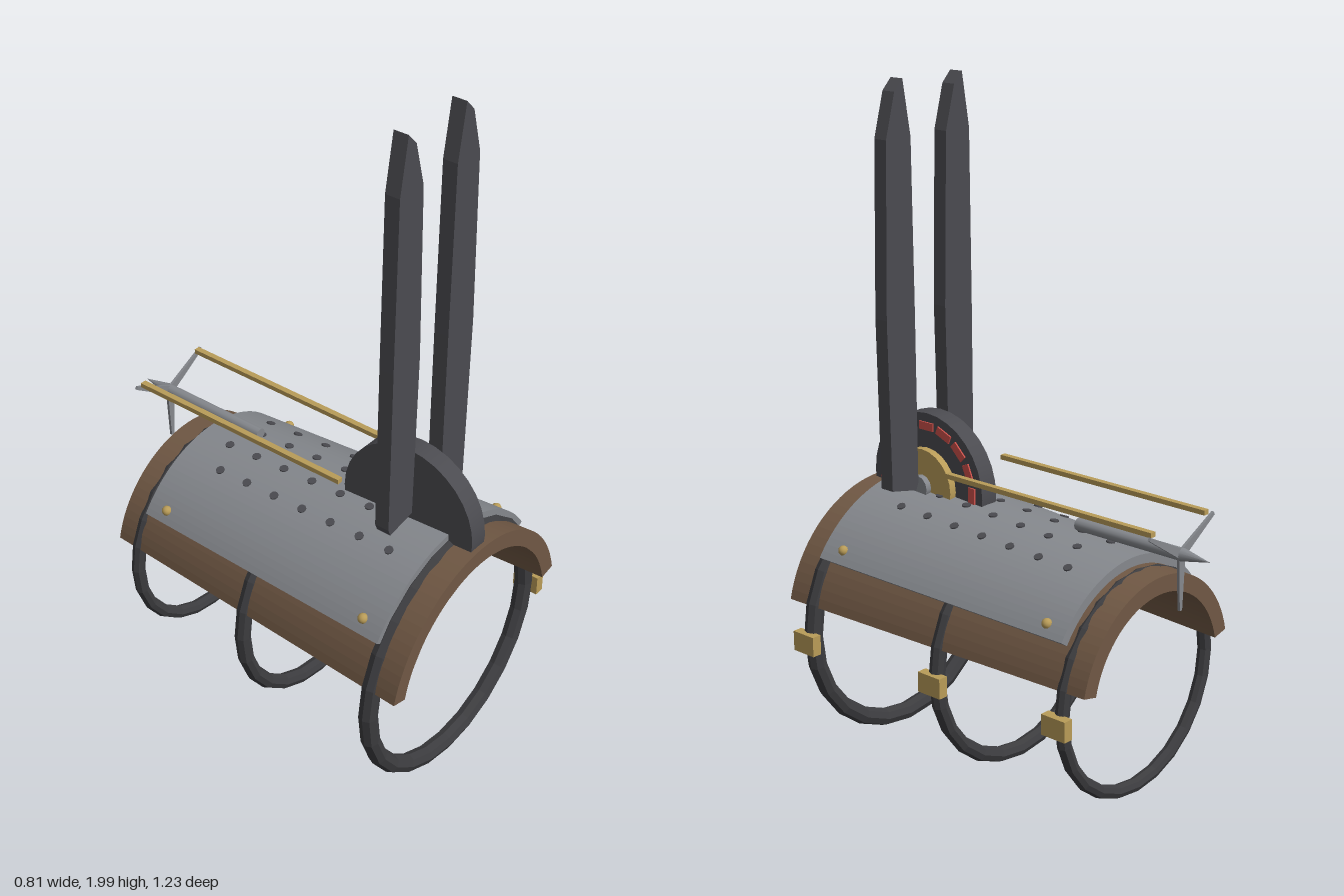
import * as THREE from 'three';

const mat = (name, color, flatShading = false) => {
  const m = new THREE.MeshStandardMaterial({ color, flatShading });
  m.name = name;
  return m;
};

export function createModel() {
  const model = new THREE.Group();
  model.name = 'wristLauncher';
  const leather = mat('leather', 0x705844);
  const steel = mat('steel', 0x85888d);
  const gunmetal = mat('gunmetal', 0x4b4b50);
  const brass = mat('brass', 0xb99c58);
  const red = mat('red', 0xcc504a);
  const strap = mat('strap', 0x3c3c3f, true);
  const CX = -0.01, CY = 0.41, TAPER = 0.061;

  const add = (name, geometry, material, x = 0, y = 0, z = 0, parent = model) => {
    const mesh = new THREE.Mesh(geometry, material);
    mesh.name = name;
    mesh.position.set(x, y, z);
    parent.add(mesh);
    return mesh;
  };

  // Arched shell: a ring sector that widens toward the front
  const shell = (name, inner, outer, edgeAngle, back, front, material) => {
    const a = THREE.MathUtils.degToRad(edgeAngle);
    const s = new THREE.Shape();
    s.absarc(0, 0, outer, a, Math.PI - a, false);
    s.absarc(0, 0, inner, Math.PI - a, a, true);
    s.closePath();
    const g = new THREE.ExtrudeGeometry(s, { depth: front - back, bevelEnabled: false, curveSegments: 18 });
    const p = g.attributes.position;
    for (let i = 0; i < p.count; i++) {
      const k = 1 + TAPER * p.getZ(i) / Math.hypot(p.getX(i), p.getY(i));
      p.setXY(i, p.getX(i) * k, p.getY(i) * k);
    }
    g.computeVertexNormals();
    add(name, g, material, CX, CY, back);
  };
  shell('leatherCuff', 0.27, 0.32, 13, -0.45, 0.615, leather);
  shell('steelPlate', 0.322, 0.353, 34, -0.355, 0.525, steel);

  // Places a small part on the plate at an angle from the top
  const onPlate = (name, geometry, material, degrees, z) => {
    const a = THREE.MathUtils.degToRad(degrees);
    const r = 0.353 + TAPER * (z + 0.355);
    const m = add(name, geometry, material, CX + r * Math.sin(a), CY + r * Math.cos(a), z);
    m.rotation.z = -a;
  };

  // Staggered vent dots
  const dot = new THREE.CylinderGeometry(0.013, 0.013, 0.008, 10);
  [-22, -7.5, 7.5, 22].forEach((angle, column) => {
    for (let i = 0; i < 7; i++) {
      onPlate('ventHole', dot, gunmetal, angle, (column % 2 ? -0.242 : -0.201) + i * 0.103);
    }
  });

  // Corner rivets
  const rivet = new THREE.SphereGeometry(0.015, 12, 8);
  for (const z of [-0.288, 0.455]) {
    for (const angle of [-50, 50]) onPlate('rivet', rivet, brass, angle, z);
  }

  // Strap rings and their buckles
  const straps = [[0.527, 0.37, 0.027, 0.385], [0.055, 0.342, 0.023, 0.35], [-0.377, 0.315, 0.02, 0.327]];
  for (const [z, radius, tube, buckleX] of straps) {
    add('strapRing', new THREE.TorusGeometry(radius, tube, 8, 24), strap, CX, 0.403, z);
    add('buckle', new THREE.BoxGeometry(0.03, 0.06, 0.082), brass, buckleX, 0.39, z);
  }

  // Winding wheel, facing +x
  const wheel = new THREE.Group();
  wheel.name = 'windingWheel';
  wheel.position.set(0, 0.815, 0.385);
  model.add(wheel);
  const disc = (name, radius, x0, x1, material, sides) => {
    const g = new THREE.CylinderGeometry(radius, radius, x1 - x0, sides).rotateZ(Math.PI / 2);
    add(name, g, material, (x0 + x1) / 2, 0, 0, wheel);
  };
  disc('wheelDisc', 0.217, -0.039, 0.02, gunmetal, 32);
  disc('wheelHub', 0.113, 0.02, 0.043, brass, 24);
  disc('hubCap', 0.036, 0.043, 0.062, steel, 12);
  const dash = new THREE.BoxGeometry(0.008, 0.024, 0.055);
  for (let i = 0; i < 16; i++) {
    const a = (i / 16) * Math.PI * 2;
    const m = add('wheelMark', dash, red, 0.021, Math.cos(a) * 0.178, Math.sin(a) * 0.178, wheel);
    m.rotation.x = a;
  }

  // Two upright blade limbs
  const outline = [
    [-0.145, 0.818], [-0.1, 0.828], [-0.05, 0.838], [-0.042, 1.34], [-0.055, 1.84],
    [-0.09, 1.967], [-0.122, 2], [-0.149, 1.84], [-0.153, 1.34], [-0.154, 0.84],
  ];
  const limbShape = new THREE.Shape(outline.map(([x, y]) => new THREE.Vector2(x, y)));
  const limb = new THREE.ExtrudeGeometry(limbShape, { depth: 0.045, bevelEnabled: false });
  for (const x of [0, 0.234]) add('bladeLimb', limb, gunmetal, x, 0, 0.364);

  // Brass rails
  for (const side of [-1, 1]) {
    add('rail', new THREE.BoxGeometry(0.018, 0.014, 0.735), brass, CX + side * 0.116, 0.9, -0.147);
  }

  // Bolt with a pointed tip and three prongs
  const bolt = new THREE.Group();
  bolt.name = 'bolt';
  bolt.position.set(CX, 0.815, 0);
  model.add(bolt);
  add('boltShaft', new THREE.CylinderGeometry(0.018, 0.018, 0.358, 12).rotateX(Math.PI / 2), steel, 0, 0, -0.344, bolt);
  add('boltTip', new THREE.ConeGeometry(0.019, 0.092, 12).rotateX(-Math.PI / 2), steel, 0, 0, -0.569, bolt);
  const prongShape = new THREE.Shape([[-0.014, 0], [0.014, 0], [0.005, 0.16], [-0.005, 0.16]].map(([x, y]) => new THREE.Vector2(x, y)));
  const prong = new THREE.ExtrudeGeometry(prongShape, { depth: 0.008, bevelEnabled: false });
  for (let i = 0; i < 3; i++) {
    add('prong', prong, steel, 0, 0, -0.524, bolt).rotation.z = Math.PI + (i * Math.PI * 2) / 3;
  }
  return model;
}
